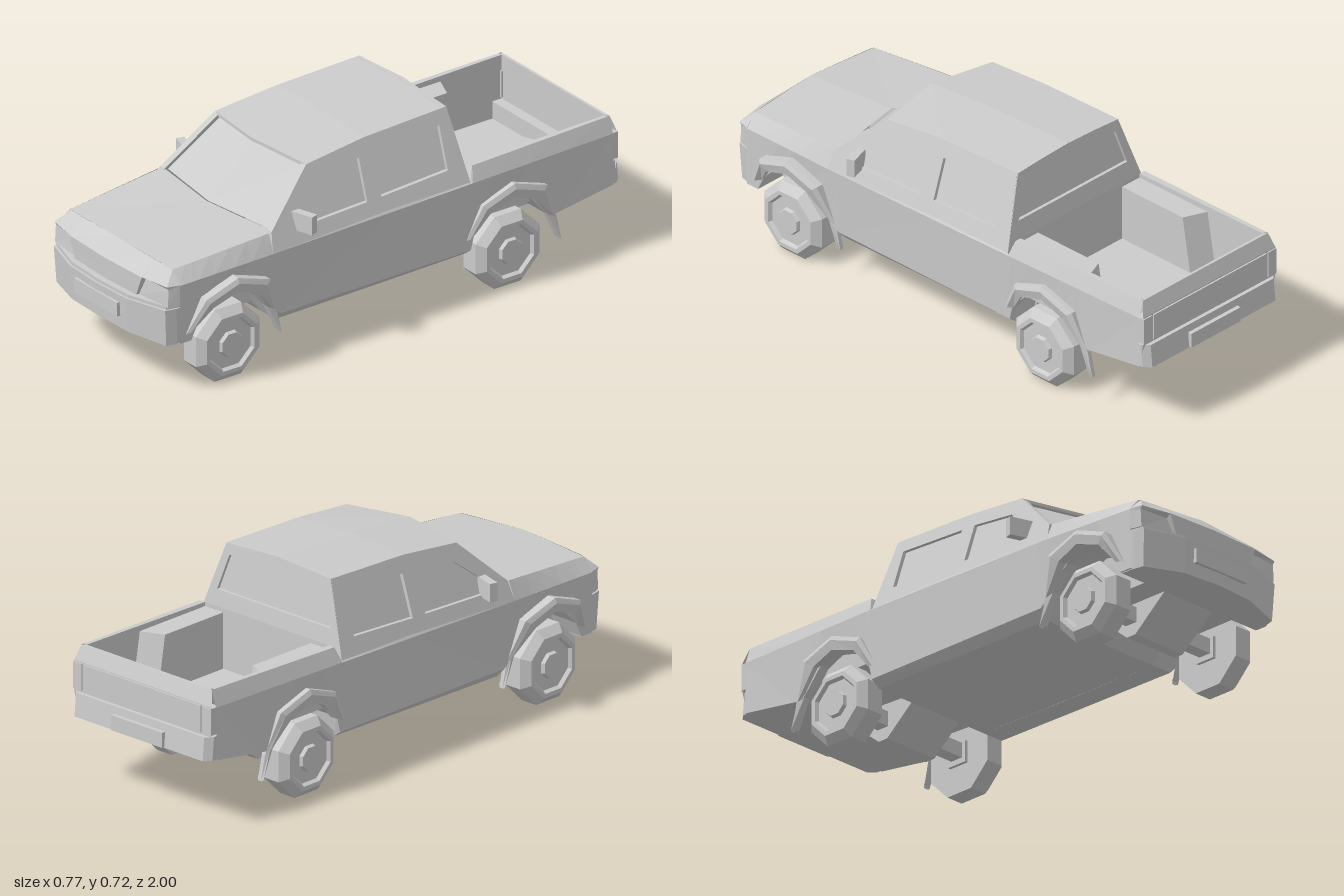
import * as THREE from 'three';

const mat = new THREE.MeshStandardMaterial({ color: 0xcccccc, flatShading: true, side: THREE.DoubleSide });

// Surface through rows of [x, y, z] points
function grid(rows) {
  const n = rows[0].length, idx = [];
  for (let r = 0; r < rows.length - 1; r++)
    for (let c = 0; c < n - 1; c++) {
      const a = r * n + c, b = a + 1, d = a + n, e = d + 1;
      idx.push(a, d, b, b, d, e);
    }
  const g = new THREE.BufferGeometry();
  g.setAttribute('position', new THREE.Float32BufferAttribute(rows.flat(2), 3));
  g.setIndex(idx);
  g.computeVertexNormals();
  return g;
}

// Straight-line lookup in a table of [z, value...] with z falling
function lookup(table, z) {
  let i = 0;
  while (i < table.length - 2 && table[i + 1][0] > z) i++;
  const a = table[i], b = table[i + 1];
  const t = THREE.MathUtils.clamp((a[0] - z) / (a[0] - b[0]), 0, 1);
  return a.slice(1).map((v, k) => v + (b[k + 1] - v) * t);
}

const shapeOf = pts => new THREE.Shape(pts.map(p => new THREE.Vector2(...p)));

function extrude(pts, holes, depth) {
  const s = shapeOf(pts);
  s.holes = holes.map(shapeOf);
  return new THREE.ExtrudeGeometry(s, { depth, bevelEnabled: false });
}

// Move every vertex by a rule
function warp(g, rule) {
  const p = g.attributes.position;
  for (let i = 0; i < p.count; i++) p.setXYZ(i, ...rule(p.getX(i), p.getY(i), p.getZ(i)));
  g.computeVertexNormals();
  return g;
}

// Solid from a plan outline of [x, z], standing between two heights
const plan = (pts, y0, y1) => warp(extrude(pts.map(([x, z]) => [x, -z]), [], y1 - y0), (x, y, d) => [x, y0 + d, -y]);

// Plan solid mirrored about the centre line
const widePlan = (pts, y0, y1) => plan([...pts, ...pts.map(([x, z]) => [-x, z]).reverse()], y0, y1);

// Full-width row from the points of the left half, centre last
const mirrorRow = half => [...half.map(([x, y, z]) => [-x, y, z]), ...half.slice(0, -1).reverse()];

export function createModel() {
  const truck = new THREE.Group();
  truck.name = 'pickupTruck';
  const add = (name, g, x = 0, y = 0, z = 0) => {
    const m = new THREE.Mesh(g, mat);
    m.name = name;
    m.position.set(x, y, z);
    truck.add(m);
    return m;
  };
  const addBoth = (name, g, x = 0, y = 0, z = 0) => {
    add(name + 'Left', g, x, y, z);
    add(name + 'Right', g, -x, y, z).scale.x = -1;
  };

  // Body sides and underside, lofted along z with the wheel arches cut in
  const top = [[.89, .29, .457], [.5, .312, .487], [.499, .335, .435], [-.345, .332, .44], [-.36, .315, .49], [-.95, .305, .5]];
  const belt = [[.89, .33, .41], [.5, .34, .42], [-.3, .338, .435], [-.95, .325, .44]];
  const floor = [[.89, .19], [.47, .19], [.46, .145], [-.345, .155], [-.36, .2], [-.72, .215], [-.95, .25]];
  const bottom = [[.89, .19], [.84, .19], [.81, .25], [.74, .32], [.66, .34], [.59, .31], [.52, .24], [.5, .21], [.499, .209],
    [.46, .145], [0, .15], [-.345, .155], [-.36, .24], [-.44, .32], [-.52, .34], [-.59, .31], [-.65, .24], [-.68, .21], [-.72, .215], [-.95, .25]];
  addBoth('bodySide', grid(bottom.map(([z, yb]) => {
    const [tx, ty] = lookup(top, z), [bx, by] = lookup(belt, z), [fy] = lookup(floor, z);
    const sill = yb < .17;
    return [[tx, ty, z], [bx, by, z], [.328, Math.max(.18, yb), z], [sill ? .295 : .32, yb, z],
      [.21, yb, z], [.21, fy, z], [0, fy, z]];
  })));

  // Hood and nose, with the headlights set back under a lip
  add('hood', grid([
    mirrorRow([[.312, .487, .48], [0, .497, .53]]),
    mirrorRow([[.29, .457, .89], [0, .47, .905]])]));
  const noseRow = (y, back) => {
    const x = .205 - (.41 - y) * .4;
    return mirrorRow([[.33, y, .89], [.318, y, .935 - back * .4], [x, y, .955 - back], [x - .002, y, .957], [0, y, .965]]);
  };
  add('nose', grid([
    mirrorRow([[.29, .457, .89], [.28, .458, .892], [.19, .462, .897], [.185, .462, .897], [0, .47, .905]]),
    noseRow(.413, 0), noseRow(.402, .018), noseRow(.335, .008)]));

  // Bumpers and number plates
  const frontPlan = [[.327, .85], [.324, .9], [.314, .94], [.16, .988], [0, .996]];
  add('frontBumper', warp(widePlan(frontPlan, .187, .325), (x, y, z) =>
    y > .3 ? [x, y, z] : [x * .985, y + .013 * (1 - (x / .327) ** 2), z - .008]));
  add('frontBumperTop', widePlan(frontPlan.map(([x, z]) => [x * .985, z - .008]), .325, .337));
  add('rearBumper', warp(widePlan([[.322, -.9], [.322, -.965], [.3, -.99]], .25, .335),
    (x, y, z) => [x, y, y > .3 && z < -.95 ? z + .008 : z]));
  add('frontPlate', new THREE.BoxGeometry(.242, .052, .02), 0, .271, .99);
  add('rearPlate', new THREE.BoxGeometry(.24, .055, .02), 0, .28, -.99);

  // Cab sides: sheared plates with recessed windows
  const cabX = y => .335 - (y - .43) * .33;
  const lean = (z, y, d) => [cabX(y) - d, y, z];
  const windows = [
    [[.39, .475], [.39, .515], [.27, .61], [.085, .633], [.085, .485]],
    [[.025, .487], [.025, .635], [-.26, .65], [-.26, .5]]];
  addBoth('cabSide', warp(extrude([[.5, .43], [.49, .49], [.3, .667], [.05, .692], [-.3, .703], [-.34, .435]], windows, .025), lean));
  windows.forEach((w, i) => addBoth(i ? 'rearWindow' : 'frontWindow',
    warp(new THREE.ShapeGeometry(shapeOf(w)), (z, y) => lean(z, y, .014))));

  // Roof with a brow over the windscreen
  const roofRow = (y, z, cy, cz) => mirrorRow([[cabX(y), y, z], [0, cy, cz]]);
  add('roof', grid([roofRow(.703, -.3, .717, -.305), roofRow(.692, .05, .705, .05), roofRow(.667, .3, .68, .34),
    roofRow(.655, .3, .668, .34), roofRow(.655, .27, .668, .31)]));
  add('windscreen', grid([
    mirrorRow([[.245, .66, .28], [0, .673, .322]]),
    mirrorRow([[.295, .485, .472], [0, .493, .52]])]));

  // Cab back with its recessed window
  const backWindow = [[-.265, .535], [.265, .535], [.225, .665], [0, .675], [-.225, .665]];
  const tilt = (x, y, d) => [x, y, -.34 + (y - .44) * .14 + d];
  add('cabBack', warp(extrude([[-.333, .435], [.333, .435], [.244, .703], [0, .717], [-.244, .703]], [backWindow], .015), tilt));
  add('backWindow', warp(new THREE.ShapeGeometry(shapeOf(backWindow)), (x, y) => tilt(x, y, .012)));

  // Load bed: rails, walls, floor, wheel boxes with a sloping rear end
  addBoth('bedRailAndWall', grid([-.36, -.94].map(z => {
    const [x, y] = lookup(top, z);
    return [[0, .27, z], [.29, .27, z], [.29, y, z], [x, y, z]];
  })));
  add('bedFrontWall', grid([.49, .27].map(y => [[-.315, y, -.36], [.315, y, -.36]])));
  add('bedFrontLedge', grid([[[-.33, .44, -.34], [.33, .44, -.34]], [[-.315, .489, -.36], [.315, .489, -.36]]]));
  addBoth('bedWheelBox', warp(plan([[.205, -.36], [.29, -.36], [.29, -.715], [.205, -.68]], .27, .475),
    (x, y, z) => [x, y, y > .4 && z < -.5 ? z + .035 : z]));

  // Tailgate, inside to outside, and tail lights
  add('tailgate', grid([[.29, .27, -.94], [.29, .5, -.94], [.305, .5, -.95], [.322, .445, -.968], [.322, .335, -.968], [.32, .25, -.95]]
    .map(([x, y, z]) => [[-x, y, z], [x, y, z]])));
  addBoth('tailLight', new THREE.BoxGeometry(.04, .098, .04), .303, .392, -.953);
  add('tailgatePanel', new THREE.BoxGeometry(.55, .098, .02), 0, .392, -.964);

  // Door mirrors
  const mirror = new THREE.BoxGeometry(.085, .067, .03);
  mirror.rotateY(.3);
  addBoth('doorMirror', mirror, .338, .502, .368);

  // Wheels, arch flares, axles and sloping axle housings
  const R = .135 / Math.cos(Math.PI / 8);
  const wheel = new THREE.LatheGeometry([[0, -.048], [R, -.048], [R, .02], [R - .03, .047], [.1, .047], [.092, .034], [.05, .034],
    [.045, .047], [0, .047]].map(p => new THREE.Vector2(...p)), 8, Math.PI / 8);
  wheel.rotateZ(-Math.PI / 2);
  const outer = [[.182, .22], [.12, .343], [-.01, .39], [-.15, .343], [-.205, .2], [-.225, .11]];
  const inner = [[.14, .235], [.09, .305], [-.01, .338], [-.1, .305], [-.165, .22], [-.215, .115]];
  const flare = reach => grid(outer.map(([z, y], i) => {
    const [iz, iy] = inner[i];
    const lip = .333 + reach * THREE.MathUtils.clamp((y - .2) / .16, 0, 1);
    return [[.31, y, z], [lip - .008, y, z], [lip, y + (iy - y) * .35, z + (iz - z) * .35], [lip - .008, iy, iz], [.3, iy, iz]];
  }));
  for (const [end, z, reach] of [['front', .68, .042], ['rear', -.505, .025]]) {
    addBoth(end + 'Wheel', wheel, .301, .135, z);
    addBoth(end + 'ArchFlare', flare(reach), 0, 0, z);
    add(end + 'Axle', new THREE.BoxGeometry(.5, .055, .05), 0, .147, z);
    addBoth(end + 'Hub', new THREE.BoxGeometry(.012, .08, .08), .246, .14, z);
    const housing = extrude([[-.19, .215], [-.02, .075], [.02, .075], [.19, .215]], [], .228);
    housing.rotateY(-Math.PI / 2);
    add(end + 'AxleHousing', housing, .114, 0, z);
  }
  return truck;
}
